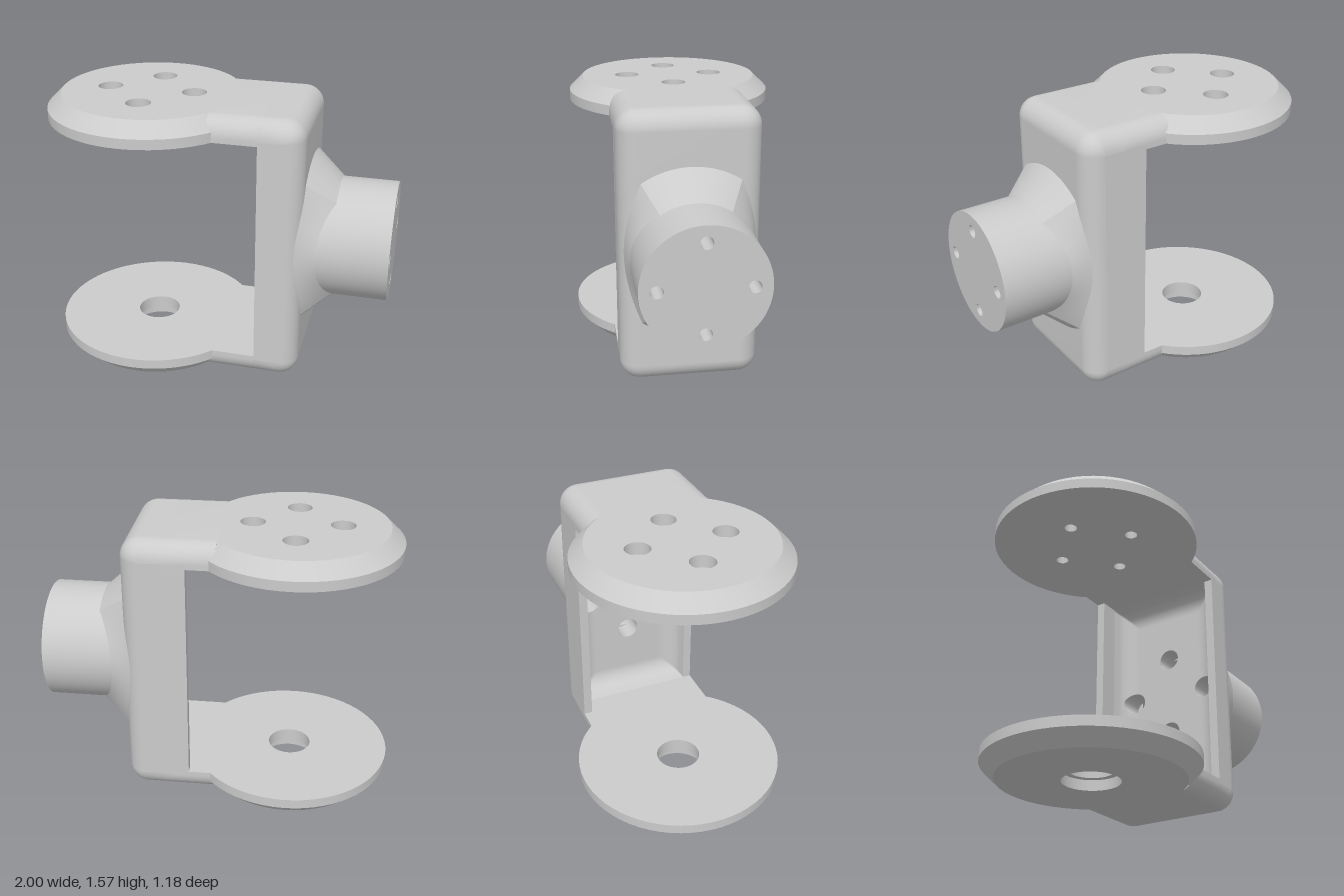
import * as THREE from 'three';
import { toCreasedNormals } from 'three/addons/utils/BufferGeometryUtils.js';

const H = 1.57, MID = H / 2;          // overall height and its middle
const PLATE_X = -0.41, PITCH = 0.247; // plate centre, bolt circle radius
const ARM = 0.135, R = 0.11;          // arm thickness, outer edge rounding
const BOLTS = [[PITCH, 0], [-PITCH, 0], [0, PITCH], [0, -PITCH]];
const mat = new THREE.MeshStandardMaterial({ color: 0xcccccc, side: THREE.DoubleSide });

function add(parent, name, geometry, x = 0, y = 0, z = 0) {
  const mesh = new THREE.Mesh(geometry, mat);
  mesh.name = name;
  mesh.position.set(x, y, z);
  parent.add(mesh);
  return mesh;
}

// Surface from a rule point(i, j); keep(i, j, corners) may drop triangles
function grid(nu, nv, point, keep = () => true) {
  const pos = [], index = [];
  for (let i = 0; i <= nu; i++) for (let j = 0; j <= nv; j++) pos.push(...point(i, j));
  const id = (c) => c[0] * (nv + 1) + c[1];
  for (let i = 0; i < nu; i++) for (let j = 0; j < nv; j++) {
    const a = [i, j], b = [i + 1, j], c = [i + 1, j + 1], d = [i, j + 1];
    for (const tri of [[a, b, d], [b, c, d]]) if (keep(i, j, tri)) index.push(...tri.map(id));
  }
  const g = new THREE.BufferGeometry();
  g.setAttribute('position', new THREE.Float32BufferAttribute(pos, 3));
  g.setIndex(index);
  g.computeVertexNormals();
  return g;
}

const lathe = (points, segments = 64) =>
  toCreasedNormals(new THREE.LatheGeometry(points.map((p) => new THREE.Vector2(...p)), segments), 0.5);

// Flat round face with bolt holes, facing up or down
function disc(radius, holeRadius, up = true) {
  const shape = new THREE.Shape().absarc(0, 0, radius, 0, Math.PI * 2);
  for (const [x, y] of BOLTS) shape.holes.push(new THREE.Path().absarc(x, y, holeRadius, 0, Math.PI * 2, true));
  return new THREE.ShapeGeometry(shape, 32).rotateX(up ? -Math.PI / 2 : Math.PI / 2);
}

// Depth of the filleted channel floor at (y, z)
const FILLET = 0.12, CH_Z = 0.34, CH_Y = MID - ARM;
function floorX(y, z) {
  const rise = (v, half) => {
    const d = Math.max(Math.abs(v) - (half - FILLET), 0);
    return Math.sqrt(Math.max(FILLET * FILLET - d * d, 0));
  };
  return 0.28 + Math.min(rise(y - MID, CH_Y), rise(z, CH_Z));
}

function outerShell() {
  // Stations along the C: centre of rounding and outward angle
  const stations = [[0.28, R, -Math.PI / 2]], n = 8;
  for (let i = 0; i <= n; i++) stations.push([0.415, R, (i / n - 1) * Math.PI / 2]);
  const gap = stations.length;
  stations.push([0.415, MID - 0.3, 0], [0.415, MID + 0.3, 0]);
  for (let i = 0; i <= n; i++) stations.push([0.415, H - R, i / n * Math.PI / 2]);
  stations.push([0.28, H - R, Math.PI / 2]);
  return grid(stations.length - 1, 2 * n + 1, (i, j) => {
    const [cx, cy, a] = stations[i];
    const t = (j <= n ? j / n - 1 : (j - n - 1) / n) * Math.PI / 2;
    const rad = R * Math.cos(t), z = (j <= n ? -0.28 : 0.28) + R * Math.sin(t);
    return [cx + rad * Math.cos(a), cy + rad * Math.sin(a), z];
  }, (i, j) => !(i === gap && j === n)); // open behind the boss for the bolt holes
}

function channelFloor(bore) {
  const nz = 68, ny = 130;
  const at = (i, j) => [(i / nz * 2 - 1) * CH_Z, MID + (j / ny * 2 - 1) * CH_Y];
  const hole = ([z, y]) => BOLTS.find((b) => Math.hypot(z - b[0], y - MID - b[1]) < bore);
  return grid(nz, ny, (i, j) => {
    let [z, y] = at(i, j);
    const h = hole([z, y]);
    if (h) { // push points inside a hole out to its rim
      const dz = z - h[0], dy = y - MID - h[1], k = bore / Math.max(Math.hypot(dz, dy), 1e-4);
      z = h[0] + dz * k;
      y = MID + h[1] + dy * k;
    }
    return [floorX(y, z), y, z];
  }, (i, j, tri) => !tri.every((c) => hole(at(...c))));
}

// Half of the flared collar: one side facing z and one conical lobe
const CORNER = Math.atan2(0.41, 0.275);
function collarSide() {
  return grid(6, 24, (i, j) => {
    const v = i / 6, t = j / 12 - 1, z = 0.365 - 0.09 * t * t;
    const base = [0.405 + Math.sqrt(R * R - Math.max(z - 0.28, 0) ** 2), 0.41 * t, z];
    const top = [0.6 + 0.085 * t * t, 0.34 * Math.sin(t * CORNER), 0.34 * Math.cos(t * CORNER)];
    return base.map((b, k) => b + (top[k] - b) * v);
  });
}
function collarLobe() {
  return grid(1, 24, (i, j) => {
    const a = CORNER + (Math.PI - 2 * CORNER) * j / 24, r = i ? 0.34 : 0.494;
    return [i ? 0.685 : 0.515, r * Math.sin(a), r * Math.cos(a)];
  });
}

export function createModel() {
  const model = new THREE.Group();
  model.name = 'yokeBracket';

  // Column: rounded shell, two channel walls of unequal depth, channel floor
  add(model, 'columnShell', outerShell());
  for (const [name, x0, z] of [['frontWall', 0.28, 0.365], ['backWall', 0.16, -0.365]]) {
    add(model, name, new THREE.BoxGeometry(0.415 - x0, H - 2 * R, 0.05), (x0 + 0.415) / 2, MID, z);
  }
  const bore = 0.065;
  add(model, 'channelFloor', channelFloor(bore));

  // Arms with rounded outer edges
  const section = new THREE.Shape();
  section.moveTo(0.39, ARM).lineTo(-0.39, ARM).lineTo(-0.39, R);
  section.absarc(-0.39 + R, R, R, Math.PI, Math.PI * 1.5);
  section.absarc(0.39 - R, R, R, Math.PI * 1.5, Math.PI * 2);
  const armGeo = toCreasedNormals(new THREE.ExtrudeGeometry(section,
    { depth: 0.28, bevelEnabled: false, curveSegments: 8 }).rotateY(Math.PI / 2), 0.5);
  add(model, 'lowerArm', armGeo);
  add(model, 'upperArm', armGeo, 0, H, 0).rotation.x = Math.PI;

  // Lower plate with a stepped centre hole
  add(model, 'lowerPlate', lathe([[0.125, ARM], [0.125, 0.06], [0.16, 0.06], [0.16, 0], [0.51, 0],
    [0.59, 0.078], [0.59, ARM], [0.125, ARM]]), PLATE_X);

  // Upper plate with four counterbored holes
  const upper = new THREE.Group();
  upper.name = 'upperPlate';
  upper.position.x = PLATE_X;
  model.add(upper);
  add(upper, 'plateRim', lathe([[0.59, H - ARM], [0.59, H - 0.078], [0.51, H]]));
  add(upper, 'plateTop', disc(0.51, 0.07), 0, H, 0);
  add(upper, 'plateUnderside', disc(0.59, 0.035, false), 0, H - ARM, 0);
  const plateHole = lathe([[0.07, H], [0.07, H - 0.07], [0.035, H - 0.07], [0.035, H - ARM]], 32);
  for (const [x, z] of BOLTS) add(upper, 'plateHole', plateHole, x, 0, z);

  // Boss along +x, modelled upright and laid on its side
  const boss = new THREE.Group();
  boss.name = 'boss';
  boss.position.y = MID;
  boss.rotation.z = -Math.PI / 2;
  model.add(boss);
  add(boss, 'bossCylinder', lathe([[0.34, 0.55], [0.34, 1]]));
  add(boss, 'bossFace', disc(0.34, 0.035), 0, 1, 0);
  for (const [x, z] of BOLTS) {
    const g = lathe([[0.035, 1], [0.035, 0.85], [bore, 0.85], [bore, 0.4]], 32);
    const p = g.attributes.position;
    for (let i = 0; i < p.count; i++) { // trim the bore to the channel floor
      if (p.getY(i) < 0.41) p.setY(i, floorX(MID - x - p.getX(i), z + p.getZ(i)));
    }
    add(boss, 'bossHole', g, x, 0, z);
  }

  // Flared collar between boss and column, two matching halves
  for (const turn of [0, Math.PI]) {
    add(model, 'collarSide', collarSide(), 0, MID, 0).rotation.x = turn;
    add(model, 'collarLobe', collarLobe(), 0, MID, 0).rotation.x = turn;
  }
  return model;
}
